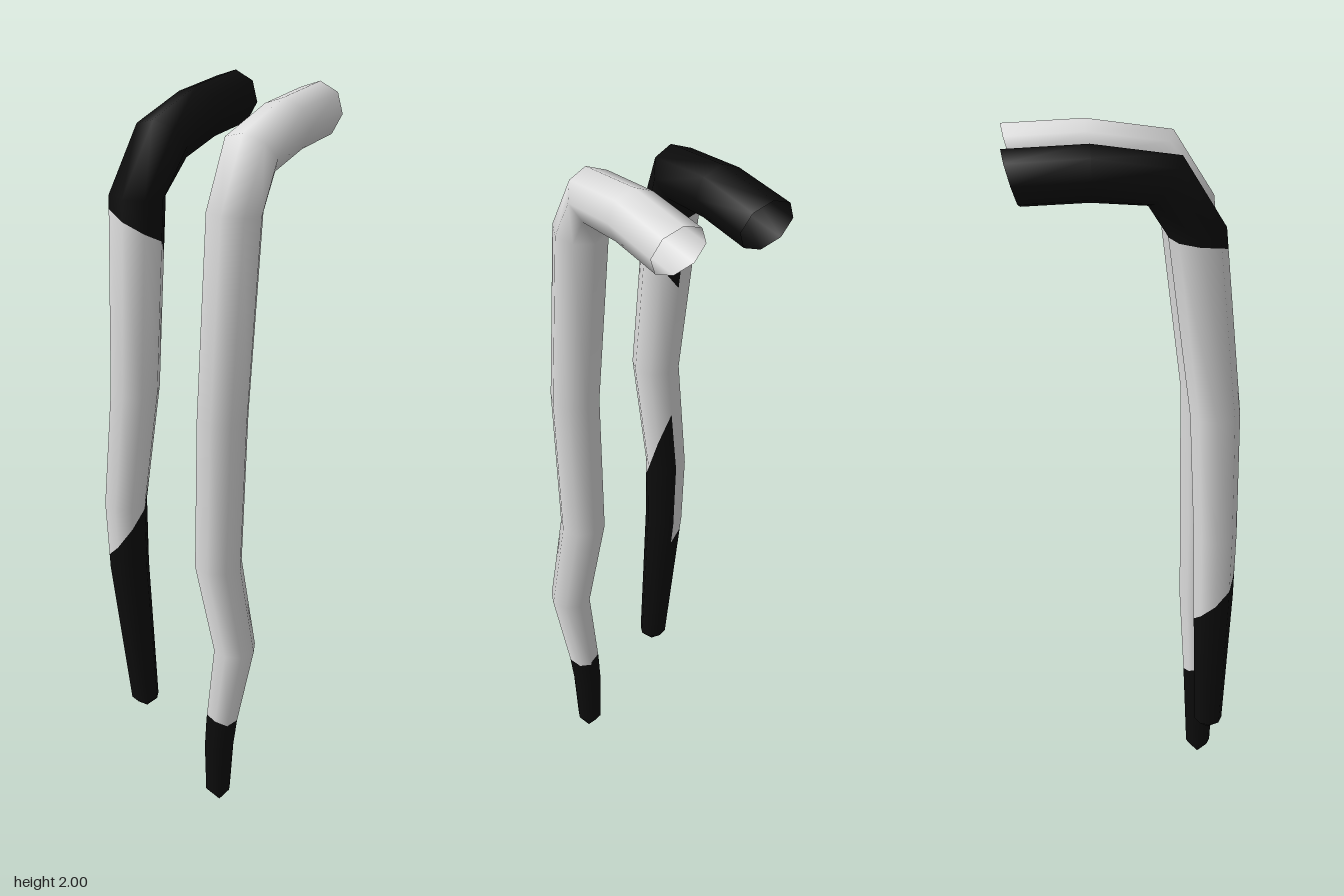
import * as THREE from 'three';

const SIDES = 8;

// Each ring: [x, y, z, radius, tilt]; tilt 0 = outer edge points up, 90 = outer edge points forward
const bend = (x, xKnee) => [
  [x, 1.917, -0.288, 0.077, -17],
  [x, 1.925, -0.09, 0.075, 0],
  [x, 1.903, 0.098, 0.077, 34],
  [xKnee, 1.778, 0.178, 0.075, 82],
];

const leftRings = [
  ...bend(0.129, 0.128),
  [0.127, 1.24, 0.24, 0.07, 90],
  [0.115, 0.8, 0.241, 0.066, 90],
  [0.165, 0.545, 0.241, 0.059, 90],
  [0.127, 0.3, 0.241, 0.047, 90],
  [0.117, 0.2, 0.241, 0.043, 90],
  [0.113, 0.045, 0.241, 0.036, 90],
  [0.117, 0.0, 0.241, 0, 90],
];

const rightRings = [
  ...bend(-0.122, -0.15),
  [-0.135, 1.265, 0.237, 0.067, 90],
  [-0.171, 0.92, 0.241, 0.059, 90],
  [-0.165, 0.72, 0.241, 0.055, 90],
  [-0.125, 0.29, 0.241, 0.039, 90],
  [-0.12, 0.255, 0.241, 0, 90],
];

// Position and normal on column j at whole ring k (column 0 is the seam at the back)
function ringPoint(rings, k, j) {
  const [x, y, z, r, tilt] = rings[k];
  const a = -Math.PI / 2 + (j / SIDES) * Math.PI * 2;
  const t = THREE.MathUtils.degToRad(tilt);
  const radial = new THREE.Vector3(Math.cos(a), Math.sin(a) * Math.cos(t), Math.sin(a) * Math.sin(t));
  const position = new THREE.Vector3(x, y, z).addScaledVector(radial, r);
  return { position, normal: r === 0 ? new THREE.Vector3(0, -1, 0) : radial };
}

function tubePoint(rings, t, j) {
  const k = Math.min(Math.floor(t), rings.length - 2);
  const a = ringPoint(rings, k, j), b = ringPoint(rings, k + 1, j);
  a.position.lerp(b.position, t - k);
  a.normal.lerp(b.normal, t - k).normalize();
  return a;
}

// Ring parameter at which column j passes height h on the hanging part
function paramAtHeight(rings, j, h) {
  for (let k = rings.length - 2; k >= 0; k--) {
    const y0 = ringPoint(rings, k, j).position.y, y1 = ringPoint(rings, k + 1, j).position.y;
    if (y0 >= h && y1 <= h) return k + (y0 - h) / (y0 - y1);
  }
  return 0;
}

// Section of a tube between two boundaries, each a list of heights by column (null = tube end)
function section(name, rings, top, bottom, material) {
  const last = rings.length - 1;
  const positions = [], normals = [], index = [];
  const from = [], to = [];
  for (let j = 0; j <= SIDES; j++) {
    from.push(top ? paramAtHeight(rings, j, top[j]) : 0);
    to.push(bottom ? paramAtHeight(rings, j, bottom[j]) : last);
  }
  const row = SIDES + 1;
  for (let k = 0; k <= last; k++) {
    for (let j = 0; j <= SIDES; j++) {
      const p = tubePoint(rings, THREE.MathUtils.clamp(k, from[j], to[j]), j);
      positions.push(...p.position);
      normals.push(...p.normal);
      if (k < last && j < SIDES) {
        const a = k * row + j, b = a + 1, c = a + row, d = c + 1;
        // Skip quads squeezed flat beyond the boundaries
        const inside = (n) => k + 1 > from[n] && k < to[n];
        if (inside(j) || inside(j + 1)) index.push(a, b, c, b, d, c);
      }
    }
  }
  const geometry = new THREE.BufferGeometry();
  geometry.setAttribute('position', new THREE.Float32BufferAttribute(positions, 3));
  geometry.setAttribute('normal', new THREE.Float32BufferAttribute(normals, 3));
  geometry.setIndex(index);
  const mesh = new THREE.Mesh(geometry, material);
  mesh.name = name;
  return mesh;
}

export function createModel() {
  const pale = new THREE.MeshStandardMaterial({ color: 0xdedede, side: THREE.DoubleSide });
  pale.name = 'pale grey';
  const black = new THREE.MeshStandardMaterial({ color: 0x0c0c0c, side: THREE.DoubleSide });
  black.name = 'black';

  // Left tube: pale with a black tip
  const left = new THREE.Group();
  left.name = 'leftTube';
  const tipLine = [0.29, 0.29, 0.3, 0.295, 0.31, 0.315, 0.32, 0.31, 0.3];
  left.add(
    section('leftTubeBody', leftRings, null, tipLine, pale),
    section('leftTubeTip', leftRings, tipLine, null, black),
  );

  // Right tube: black bend and lower end, with slanting colour edges that meet at the back seam
  const right = new THREE.Group();
  right.name = 'rightTube';
  const upperLine = [1.55, 1.62, 1.67, 1.7, 1.73, 1.75, 1.76, 1.765, 1.765];
  const lowerLine = [1.12, 1.02, 0.91, 0.86, 0.8, 0.76, 0.72, 0.68, 0.65];
  right.add(
    section('rightTubeBend', rightRings, null, upperLine, black),
    section('rightTubeMiddle', rightRings, upperLine, lowerLine, pale),
    section('rightTubeTip', rightRings, lowerLine, null, black),
  );

  const model = new THREE.Group();
  model.name = 'bentTubes';
  model.add(left, right);
  return model;
}
